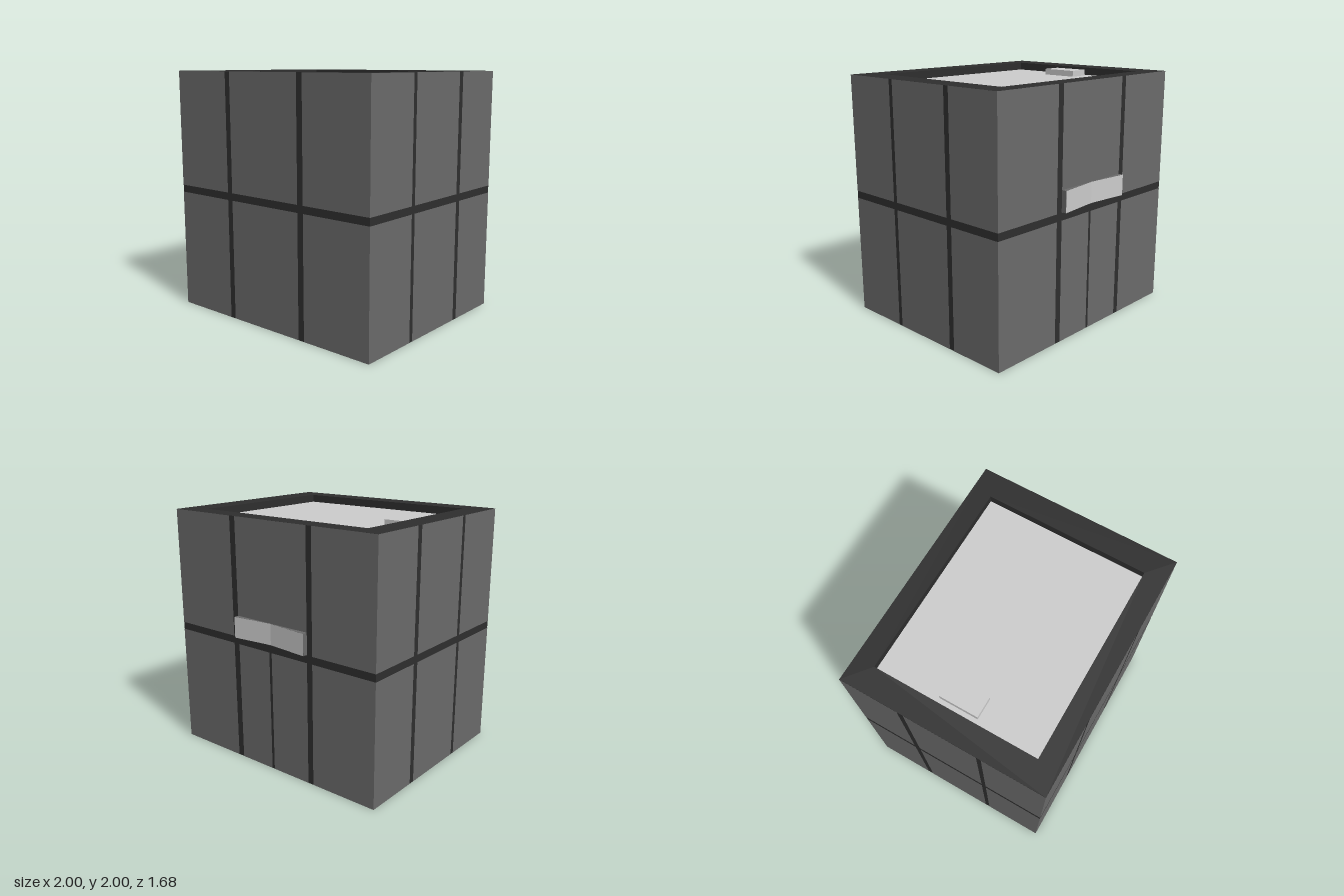
import * as THREE from 'three';

const mat = (color, side = THREE.FrontSide) => new THREE.MeshStandardMaterial({ color, side, flatShading: true });

export function createModel() {
  const model = new THREE.Group();
  const dark = mat(0x2e2e2e), grey = mat(0x6a6a6a), light = mat(0xcccccc);
  const add = (name, geometry, material, x = 0, y = 0, z = 0, ry = 0, parent = model) => {
    const mesh = new THREE.Mesh(geometry, material);
    mesh.name = name;
    mesh.position.set(x, y, z);
    mesh.rotation.y = ry;
    parent.add(mesh);
    return mesh;
  };

  // Dark core and raised parapet around the roof
  const roofY = 1.935, zMin = -0.8, zMax = 0.84, zMid = (zMin + zMax) / 2, skin = 0.001;
  add('core', new THREE.BoxGeometry(2 - 2 * skin, roofY, zMax - zMin - 2 * skin), dark, 0, roofY / 2, zMid);

  const rect = (Type, x0, x1, y0, y1) => new Type([[x0, y0], [x1, y0], [x1, y1], [x0, y1]].map(p => new THREE.Vector2(...p)));
  const rim = rect(THREE.Shape, -1 + skin, 1 - skin, -zMax + skin, -zMin - skin);
  rim.holes.push(rect(THREE.Path, -0.8, 0.8, -0.67, 0.64));
  add('parapet', new THREE.ExtrudeGeometry(rim, { depth: 2 - roofY, bevelEnabled: false }).rotateX(-Math.PI / 2), dark, 0, roofY, 0);

  // Roof deck and the small roof unit
  add('roofDeck', new THREE.PlaneGeometry(1.6, 1.31).rotateX(-Math.PI / 2), light, 0, roofY + skin, 0.015);
  add('roofUnit', new THREE.BoxGeometry(0.165, 0.05, 0.31), light, -0.67, roofY + 0.025, 0.015);

  // Wall panels, leaving the dark seams open between them
  const rows = [[0, 0.985], [1.045, 2]];
  const xCols = [[-1, -0.43], [-0.38, 0.33], [0.385, 1]];
  const zCols = [[zMin, -0.323], [-0.275, 0.307], [0.344, zMax]];
  const backLower = [xCols[0], [-0.38, -0.022], [0.002, 0.33], xCols[2]];
  const wall = (name, columnsFor, place) => {
    const group = new THREE.Group();
    group.name = name;
    rows.forEach(([y0, y1], row) => {
      for (const [a, b] of columnsFor(row)) {
        const [x, z, ry] = place((a + b) / 2);
        add('wallPanel', new THREE.PlaneGeometry(b - a, y1 - y0), grey, x, (y0 + y1) / 2, z, ry, group);
      }
    });
    model.add(group);
  };
  wall('frontWall', () => xCols, u => [u, zMax, 0]);
  wall('backWall', row => (row === 0 ? backLower : xCols), u => [u, zMin, Math.PI]);
  wall('leftWall', () => zCols, u => [1, u, Math.PI / 2]);
  wall('rightWall', () => zCols, u => [-1, u, -Math.PI / 2]);

  // V-shaped sign board over the back door: grey body, light faces
  const y0 = 1.05, height = 0.17, mid = [-0.02, -0.802], outer = [[-0.38, -0.84], [0.33, -0.84]];
  const outline = new THREE.Shape([outer[0], mid, outer[1], [0.33, -0.798], [-0.38, -0.798]]
    .map(([x, z]) => new THREE.Vector2(x, -z)));
  add('boardBody', new THREE.ExtrudeGeometry(outline, { depth: height, bevelEnabled: false }).rotateX(-Math.PI / 2), grey, 0, y0, 0);
  for (const [x, z] of outer) {
    const s = Math.sign(x - mid[0]);
    const dx = (x - mid[0]) * s, dz = (z - mid[1]) * s;
    add('boardFace', new THREE.PlaneGeometry(Math.hypot(dx, dz), height), light,
      (x + mid[0]) / 2, y0 + height / 2, (z + mid[1]) / 2 - 0.0015, Math.PI - Math.atan2(dz, dx));
  }
  return model;
}
